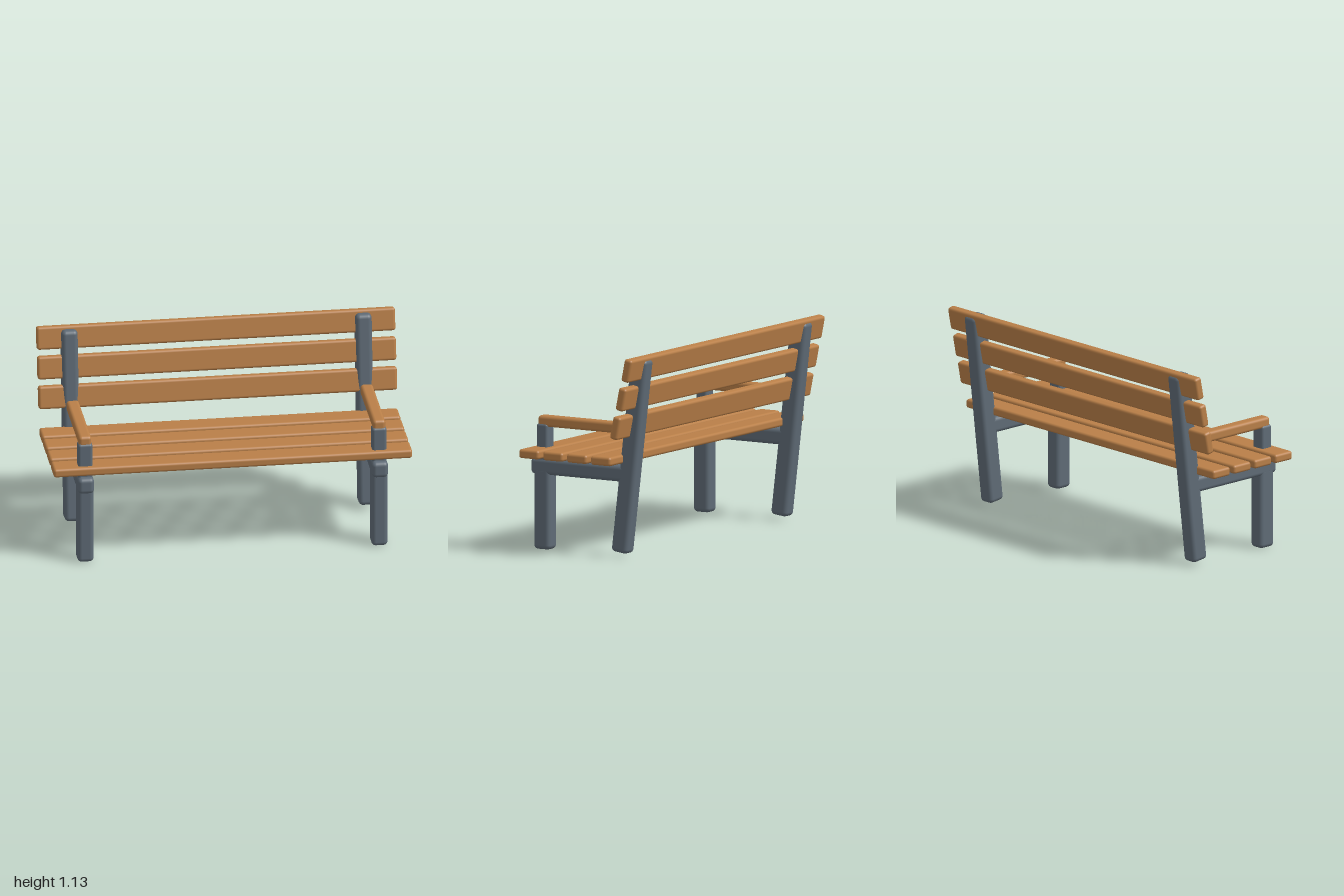
import * as THREE from 'three';
import { RoundedBoxGeometry } from 'three/addons/geometries/RoundedBoxGeometry.js';

const wood = new THREE.MeshStandardMaterial({ color: 0xb97f48 });
wood.name = 'wood';
const metal = new THREE.MeshStandardMaterial({ color: 0x5f6b76 });
metal.name = 'grey metal';

// Rounded bar, given its size, centre and backward lean
function bar(name, material, size, position, radius, lean = 0) {
  const mesh = new THREE.Mesh(new RoundedBoxGeometry(...size, 3, radius), material);
  mesh.name = name;
  mesh.position.set(...position);
  mesh.rotation.x = -lean;
  return mesh;
}

export function createModel() {
  const bench = new THREE.Group();
  bench.name = 'bench';

  // Four seat slats
  for (let i = 0; i < 4; i++) {
    bench.add(bar('seatSlat', wood, [2, 0.05, 0.13], [0, 0.55, 0.305 - i * 0.157], 0.015));
  }

  // Three leaning backrest slats
  for (let i = 0; i < 3; i++) {
    bench.add(bar('backSlat', wood, [2, 0.13, 0.05],
      [0, 0.741 + i * 0.163, -0.261 - i * 0.0372], 0.015, 0.2));
  }

  // Mirrored side frames with armrests
  for (const [side, x] of [['left', 0.82], ['right', -0.82]]) {
    const frame = new THREE.Group();
    frame.name = side + 'Frame';
    frame.position.x = x;
    frame.add(
      bar('frontLeg', metal, [0.09, 0.46, 0.105], [0, 0.232, 0.308], 0.024),
      bar('backLeg', metal, [0.09, 1.1, 0.105], [0, 0.57, -0.262], 0.024, 0.118),
      bar('seatRail', metal, [0.09, 0.092, 0.63], [0, 0.466, 0.065], 0.024),
      bar('armPost', metal, [0.08, 0.21, 0.072], [0, 0.6, 0.307], 0.015),
      bar('armrest', wood, [0.07, 0.061, 0.524], [0, 0.718, 0.075], 0.018),
    );
    bench.add(frame);
  }
  return bench;
}
